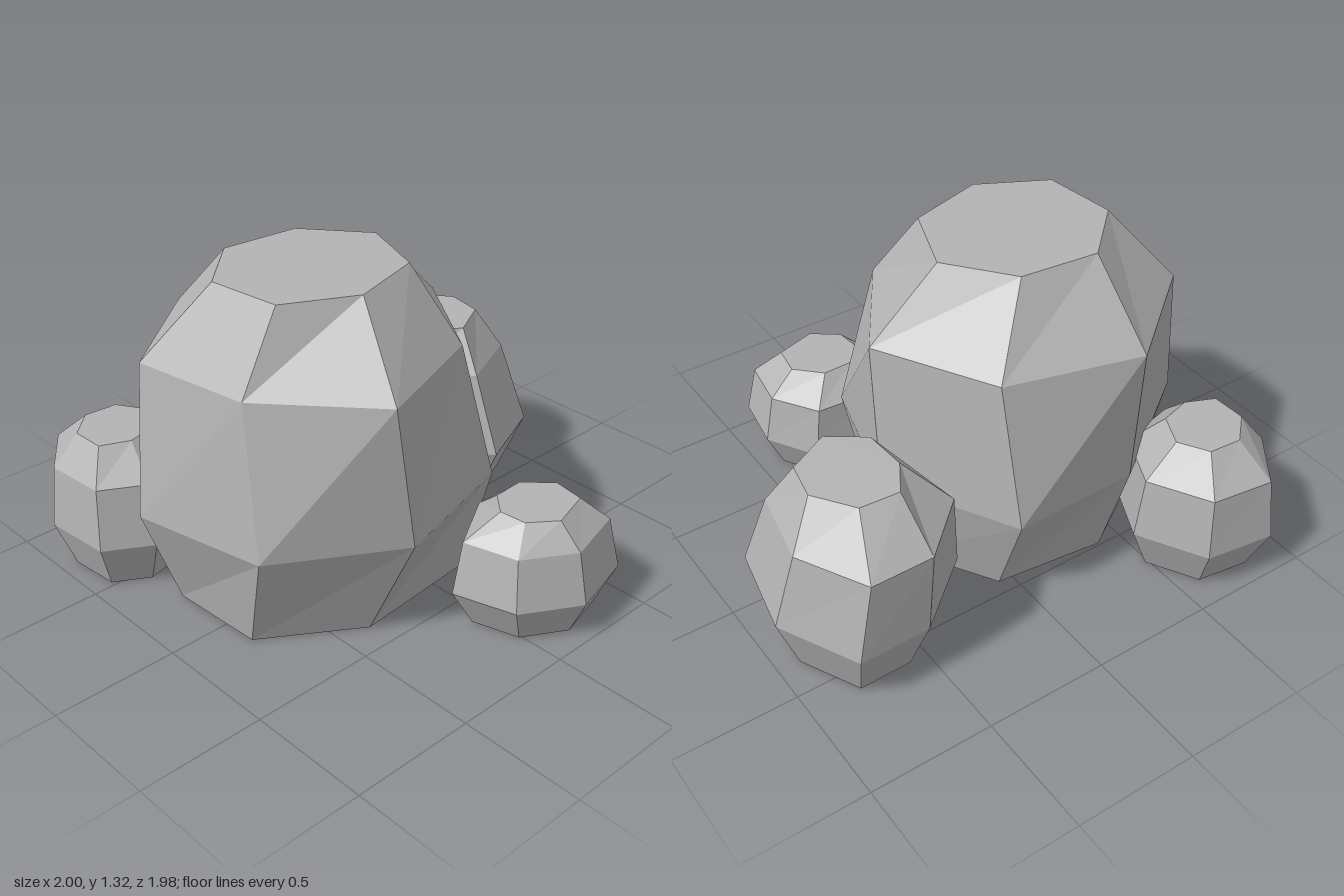
import * as THREE from 'three';

const FOOT_SCALE = 0.74;

// Corner-by-corner mix of two outlines of [x, z] points
const blend = (from, to, t) =>
  from.map(([x, z], i) => [x + (to[i][0] - x) * t, z + (to[i][1] - z) * t]);

// Outline shrunk about its own middle
function shrink(outline, scale) {
  const middle = [0, 1].map((k) => outline.reduce((sum, p) => sum + p[k], 0) / outline.length);
  return blend(outline, outline.map(() => middle), 1 - scale);
}

// Skin stacked outlines (clockwise from above) with flat facets and close both ends
function facetedStack(outlines, heights) {
  const n = outlines[0].length;
  const top = (outlines.length - 1) * n;
  const positions = outlines.flatMap((outline, r) => outline.flatMap(([x, z]) => [x, heights[r], z]));
  const index = [];
  for (let r = 0; r < top; r += n) {
    for (let i = 0; i < n; i++) {
      const a = r + i;
      const b = r + ((i + 1) % n);
      index.push(a, a + n, b, b, a + n, b + n);
    }
  }
  for (let i = 1; i < n - 1; i++) {
    index.push(top, top + i + 1, top + i); // flat top
    index.push(0, i, i + 1); // flat underside
  }
  const indexed = new THREE.BufferGeometry();
  indexed.setAttribute('position', new THREE.Float32BufferAttribute(positions, 3));
  indexed.setIndex(index);
  const geometry = indexed.toNonIndexed();
  geometry.computeVertexNormals();
  return geometry;
}

export function createModel() {
  const group = new THREE.Group();
  group.name = 'rockCluster';
  const stone = new THREE.MeshStandardMaterial({ color: 0xb4b4b4 });
  stone.name = 'grey stone';

  // A rock rises from a narrow foot to its widest belt, a shoulder and a flat crown
  function addRock(name, heights, outlines) {
    const mesh = new THREE.Mesh(facetedStack(outlines, heights), stone);
    mesh.name = name;
    group.add(mesh);
  }

  // A smaller rock: foot and shoulder follow from belt and crown, the shoulder leaning a little
  function addSmallRock(name, heights, belt, crown, inset, leanX, leanZ) {
    const shoulder = blend(belt, crown, inset).map(([x, z]) => [x + leanX, z + leanZ]);
    addRock(name, heights, [shrink(belt, FOOT_SCALE), belt, shoulder, crown]);
  }

  addRock('largeBoulder', [0, 0.44, 1.025, 1.315], [
    [[-0.76, -0.26], [-0.4, -0.49], [0.06, -0.44], [0.28, -0.08], [0.17, 0.34], [-0.37, 0.385], [-0.74, 0.14]],
    [[-0.925, -0.25], [-0.42, -0.61], [0.1, -0.62], [0.385, -0.11], [0.24, 0.425], [-0.335, 0.58], [-0.81, 0.29]],
    [[-0.84, -0.3], [-0.415, -0.64], [0.12, -0.5], [0.375, -0.045], [0.09, 0.385], [-0.42, 0.57], [-0.765, 0.18]],
    [[-0.615, -0.15], [-0.395, -0.36], [-0.08, -0.33], [0.11, -0.09], [0, 0.2], [-0.31, 0.29], [-0.58, 0.15]],
  ]);

  addSmallRock('mediumRock', [0, 0.255, 0.59, 0.757],
    [[0.27, -0.455], [0.55, -0.69], [0.84, -0.695], [1, -0.375], [0.925, 0], [0.59, 0.14], [0.36, -0.12]],
    [[0.46, -0.37], [0.54, -0.5], [0.7, -0.49], [0.81, -0.335], [0.78, -0.18], [0.61, -0.09], [0.47, -0.19]],
    0.28, -0.02, -0.05);

  addSmallRock('smallFrontRock', [0, 0.16, 0.37, 0.468],
    [[-0.155, 0.6], [0.14, 0.44], [0.35, 0.455], [0.475, 0.665], [0.435, 0.91], [0.15, 0.985], [-0.08, 0.85]],
    [[0.025, 0.66], [0.1, 0.575], [0.23, 0.57], [0.33, 0.67], [0.31, 0.8], [0.14, 0.85], [0.035, 0.77]],
    0.24, 0, -0.01);

  addSmallRock('smallBackRock', [0, 0.2, 0.455, 0.585],
    [[-1, -0.755], [-0.835, -0.99], [-0.55, -0.95], [-0.4, -0.685], [-0.52, -0.43], [-0.79, -0.36], [-0.975, -0.47]],
    [[-0.88, -0.71], [-0.775, -0.81], [-0.64, -0.8], [-0.57, -0.685], [-0.63, -0.555], [-0.76, -0.52], [-0.875, -0.57]],
    0.2, 0, 0);

  return group;
}
